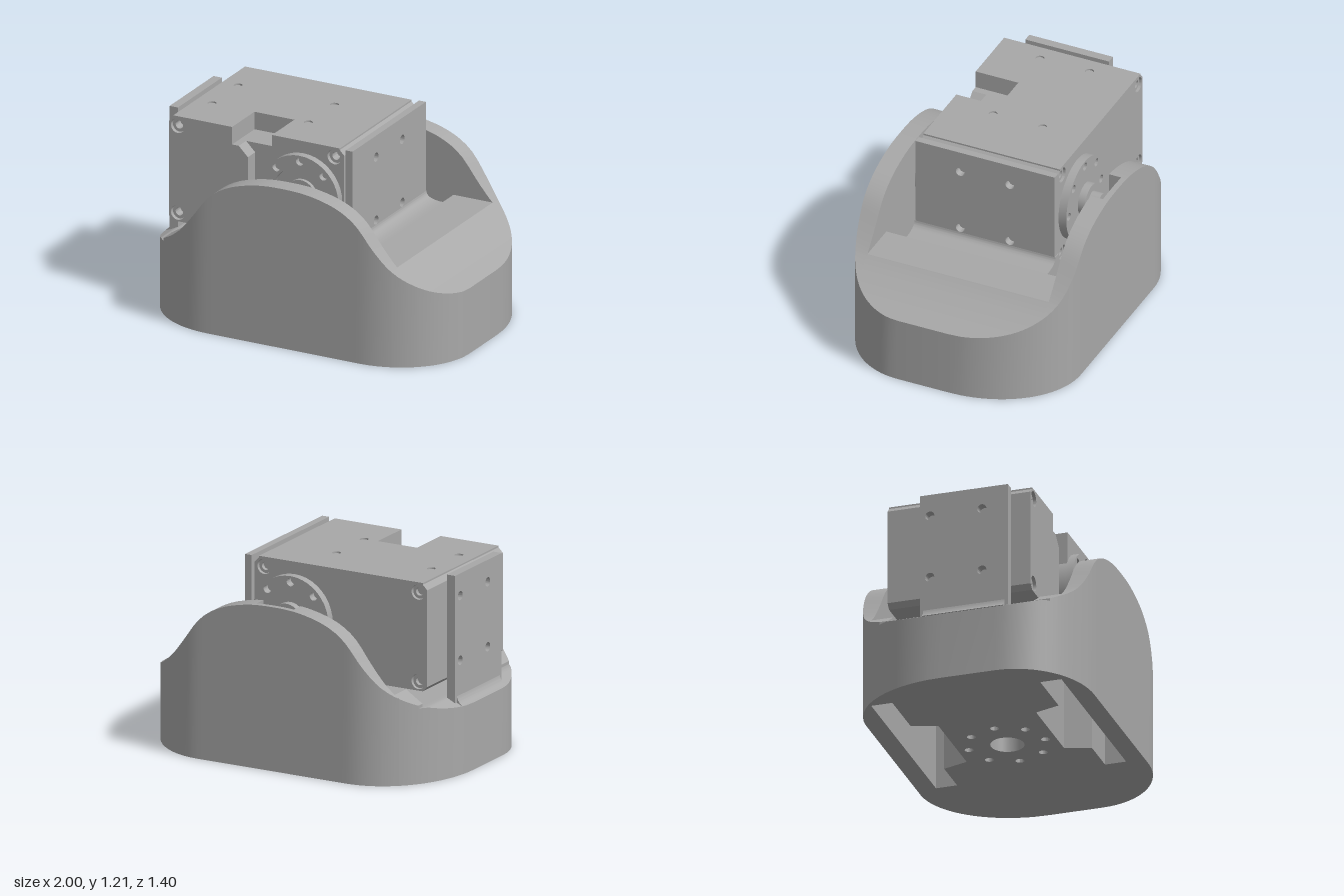
import * as THREE from 'three';
import { toCreasedNormals } from 'three/addons/utils/BufferGeometryUtils.js';

export function createModel() {
  const model = new THREE.Group();
  const grey = new THREE.MeshStandardMaterial({ color: 0xa8a8a8 });
  grey.name = 'plain grey';

  const add = (name, geo, parent = model) => {
    const mesh = new THREE.Mesh(geo, grey);
    mesh.name = name;
    parent.add(mesh);
    return mesh;
  };
  const group = (name) => {
    const g = new THREE.Group();
    g.name = name;
    model.add(g);
    return g;
  };
  const circle = (x, y, r) => new THREE.Path().absarc(x, y, r, 0, Math.PI * 2, true);
  const poly = (pts, holes = []) => {
    const s = new THREE.Shape(pts.map(([x, y]) => new THREE.Vector2(x, y)));
    s.holes.push(...holes);
    return s;
  };
  const rect = (x0, y0, x1, y1, holes) => poly([[x0, y0], [x1, y0], [x1, y1], [x0, y1]], holes);
  const extrude = (shape, z0, z1) => toCreasedNormals(
    new THREE.ExtrudeGeometry(shape, { depth: z1 - z0, bevelEnabled: false, curveSegments: 20 })
      .translate(0, 0, z0), 0.6);
  // drum along z
  const drum = (r, z0, z1, y) =>
    new THREE.CylinderGeometry(r, r, z1 - z0, 40).rotateX(Math.PI / 2).translate(0, y, (z0 + z1) / 2);

  // ---------- cradle: rounded footprint, bell-shaped rim ----------
  const rim = new THREE.CubicInterpolant(
    [-0.2, 0, 0.2, 0.4, 0.5, 0.6, 0.7, 0.85, 1],
    [0.985, 1, 0.985, 0.92, 0.845, 0.715, 0.6, 0.49, 0.41], 1);
  const rimY = (x) => rim.evaluate(Math.min(Math.abs(x), 1))[0];
  const corner = (x) => Math.sqrt(Math.max(0, 1 - (Math.max(0, Math.abs(x) - 0.5) / 0.5) ** 2));
  const frontZ = (x) => 0.25 + 0.45 * corner(x);
  const backZ = (x) => -0.08 - 0.62 * corner(x);
  const IN = 0.585, XF = 0.8339, XB = 0.7901, FLOOR = 0.46;
  const stations = [-XF, -XB, -0.7, 0.7, XB, XF];
  for (let i = 0; i <= 72; i++) stations.push(Math.sin((i / 36 - 1) * Math.PI / 2));
  stations.sort((a, b) => a - b);

  // solid swept along x, from y = 0 to top(x), between zLow(x) and zHigh(x)
  function sweep(x0, x1, zLow, zHigh, top) {
    const xs = [x0, ...stations.filter((x) => x > x0 + 1e-3 && x < x1 - 1e-3), x1];
    const pos = [], idx = [];
    xs.forEach((x, i) => {
      const a = zLow(x), b = zHigh(x), t = top(x), o = i * 4;
      pos.push(x, 0, a, x, 0, b, x, t, b, x, t, a);
      if (i === xs.length - 1) return;
      for (let k = 0; k < 4; k++) {
        const p = o + k, q = o + (k + 1) % 4;
        idx.push(p, p + 4, q + 4, p, q + 4, q);
      }
    });
    const e = (xs.length - 1) * 4;
    idx.push(0, 1, 2, 0, 2, 3, e, e + 3, e + 2, e, e + 2, e + 1);
    const geo = new THREE.BufferGeometry();
    geo.setAttribute('position', new THREE.Float32BufferAttribute(pos, 3));
    geo.setIndex(idx);
    return toCreasedNormals(geo, 0.5);
  }
  const k = (v) => () => v;
  const inFront = (x) => Math.min(IN, frontZ(x));
  const inBack = (x) => Math.max(-IN, backZ(x));

  const cradle = group('cradle');
  add('frontWall', sweep(-XF, XF, k(IN), frontZ, rimY), cradle);
  // back wall with an open slot for the shaft
  add('backWallLeft', sweep(0.125, XB, backZ, k(-IN), rimY), cradle);
  add('backWallRight', sweep(-XB, -0.125, backZ, k(-IN), rimY), cradle);
  add('backWallSlot', sweep(-0.125, 0.125, backZ, k(-0.665), rimY), cradle);
  add('slotSill', sweep(-0.125, 0.125, k(-0.665), k(-IN), k(0.76)), cradle);
  add('deepEnd', sweep(0.44, 1, inBack, inFront, (x) => (x < 0.7 ? 0.6 : rimY(x))), cradle);
  add('shallowEnd', sweep(-1, -0.76, inBack, inFront, (x) => Math.min(rimY(x), FLOOR)), cradle);
  add('frontPost', sweep(-0.87, -0.76, k(0.45), inFront, rimY), cradle);
  add('backPost', sweep(-0.87, -0.76, inBack, k(-0.45), rimY), cradle);

  // floor between the two side slots, with cable notches and bolt circle
  const bolts = [circle(0, 0, 0.1)];
  for (let i = 0; i < 8; i++) {
    const a = i * Math.PI / 4;
    bolts.push(circle(0.235 * Math.cos(a), 0.235 * Math.sin(a), 0.026));
  }
  add('floor', extrude(poly([
    [-0.76, -0.455], [-0.42, -0.455], [-0.37, -0.3], [0.15, -0.3], [0.2, -0.455], [0.44, -0.455],
    [0.44, 0.455], [0.2, 0.455], [0.15, 0.3], [-0.37, 0.3], [-0.42, 0.455], [-0.76, 0.455],
  ], bolts), 0, FLOOR).rotateX(-Math.PI / 2), cradle);

  // ---------- brackets ----------
  const plate = (name, x0, x1, z0, z1, y0) => {
    const holes = [];
    for (const z of [-0.16, 0.16]) for (const y of [0.68, 1.075]) holes.push(circle(-z, y, 0.028));
    add(name, extrude(rect(-z1, y0, -z0, 1.21, holes), x0, x1).rotateY(Math.PI / 2));
  };
  plate('rightBracket', 0.285, 0.33, -0.45, 0.45, 0.6);
  plate('leftBracket', -0.955, -0.9, -0.22, 0.32, 0.42);
  const foot = new THREE.Shape();
  foot.moveTo(0.285, FLOOR - 0.02);
  foot.lineTo(0.44, FLOOR - 0.02);
  foot.lineTo(0.44, 0.6);
  foot.quadraticCurveTo(0.335, 0.6, 0.33, 0.65);
  foot.lineTo(0.285, 0.65);
  add('rightBracketFoot', extrude(foot, -0.455, 0.455));
  const heel = new THREE.Shape();
  heel.moveTo(-0.95, 0.4);
  heel.lineTo(-0.95, 0.5);
  heel.quadraticCurveTo(-0.955, 0.44, -0.99, 0.42);
  add('leftBracketFoot', extrude(heel, -0.2, 0.3));

  // ---------- motor ----------
  const motor = group('motor');
  const L = -0.895, R = 0.27, B = 0.55, T = 1.2, C = 0.03;
  const leftScrews = [[-0.835, 1.15], [-0.835, 0.605]];
  const rightScrews = [[0.205, 1.15], [0.205, 0.605]];
  const bores = (list) => list.map(([x, y]) => circle(x, y, 0.046));
  const leftEdge = [[L + C, T], [L, T - C], [L, B + C], [L + C, B]];
  const rightEdge = [[R - C, B], [R, B + C], [R, T - C], [R - C, T]];
  const notch = [[-0.21, T], [-0.21, 1.1], [-0.475, 1.1], [-0.475, T]];

  add('motorBackCover', extrude(
    poly([...leftEdge, ...rightEdge], bores([...leftScrews, ...rightScrews])), -0.44, -0.4), motor);
  add('motorBody', extrude(poly([...leftEdge, ...rightEdge]), -0.4, 0.165), motor);
  add('motorNotchedBody', extrude(poly([...leftEdge, ...rightEdge, ...notch]), 0.165, 0.35), motor);
  add('motorFrontCoverLeft', extrude(poly([
    ...leftEdge, [-0.37, B], [-0.37, 1.04], [-0.43, 1.1], [-0.475, 1.1], [-0.475, T],
  ], bores(leftScrews)), 0.35, 0.44), motor);
  add('motorFrontCoverRight', extrude(
    poly([[-0.21, B], ...rightEdge, [-0.21, T]], bores(rightScrews)), 0.35, 0.44), motor);

  // lid with four shallow screw holes
  const lidHoles = [];
  for (const x of [-0.76, -0.12]) for (const z of [-0.16, 0.16]) lidHoles.push(circle(x, -z, 0.026));
  add('motorLid', extrude(poly([
    [L + C, -0.44], [-0.475, -0.44], [-0.475, -0.165], [-0.21, -0.165], [-0.21, -0.44],
    [R - C, -0.44], [R - C, 0.44], [L + C, 0.44],
  ], lidHoles), 1.199, 1.21).rotateX(-Math.PI / 2), motor);

  // recessed corner screws, front and back
  for (const [x, y] of [...leftScrews, ...rightScrews]) {
    const ring = new THREE.Shape().absarc(x, y, 0.043, 0, Math.PI * 2);
    ring.holes.push(circle(x, y, 0.025));
    add('frontScrew', extrude(ring, 0.36, 0.42), motor);
    add('backScrew', extrude(ring, -0.425, -0.4), motor);
  }

  // ---------- output flanges and rear shaft ----------
  const AY = 0.878;
  const flange = (name, z0, z1, inner) => {
    const s = new THREE.Shape().absarc(0, AY, 0.257, 0, Math.PI * 2);
    for (let i = 0; i < 8; i++) {
      const a = i * Math.PI / 4;
      s.holes.push(circle(0.22 * Math.cos(a), AY + 0.22 * Math.sin(a), 0.025));
    }
    s.holes.push(circle(0, AY, inner));
    add(name, extrude(s, z0, z1), motor);
  };
  flange('frontFlange', 0.44, 0.487, 0.18);
  add('frontFlangeBase', drum(0.25, 0.37, 0.452, AY), motor);
  add('frontHub', drum(0.1, 0.44, 0.475, AY), motor);
  flange('backFlange', -0.49, -0.44, 0.08);
  add('shaftCollar', drum(0.1, -0.535, -0.44, AY), motor);
  add('rearShaft', drum(0.055, -0.6, -0.53, AY), motor);

  return model;
}
